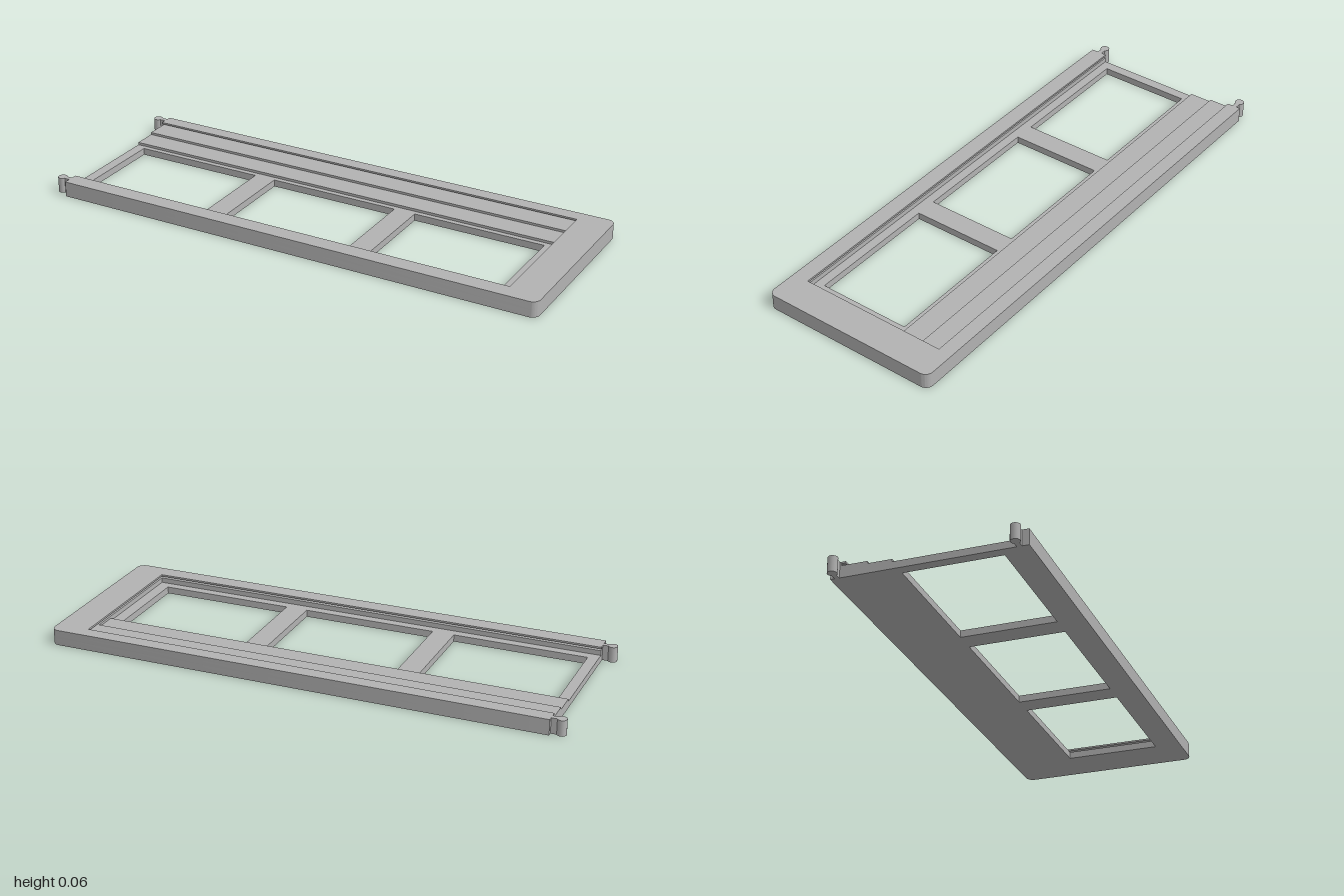
import * as THREE from 'three';
import { toCreasedNormals } from 'three/addons/utils/BufferGeometryUtils.js';

const X0 = -0.945, X1 = 1, Z = 0.355, R = 0.03;   // outer plan
const FLOOR = 0.027, TOP = 0.06;

export function createModel() {
  const group = new THREE.Group();
  const grey = new THREE.MeshStandardMaterial({ color: 0xb2b2b2 });
  grey.name = 'light grey';

  const add = (name, geometry) => {
    const mesh = new THREE.Mesh(geometry, grey);
    mesh.name = name;
    group.add(mesh);
    return mesh;
  };

  // Plan shapes are drawn in (x, -z) and raised from y0 to y1
  const slab = (name, shape, y0, y1) => {
    const g = new THREE.ExtrudeGeometry(shape, { depth: y1 - y0, bevelEnabled: false, curveSegments: 8 });
    g.rotateX(-Math.PI / 2).translate(0, y0, 0);
    add(name, toCreasedNormals(g, 0.6));
  };

  const box = (name, x0, x1, y0, y1, z0, z1) => {
    add(name, new THREE.BoxGeometry(x1 - x0, y1 - y0, z1 - z0))
      .position.set((x0 + x1) / 2, (y0 + y1) / 2, (z0 + z1) / 2);
  };

  // Outer outline with the two corners at the closed end rounded
  const outline = () => {
    const s = new THREE.Shape();
    s.moveTo(X0, -Z);
    s.lineTo(X1 - R, -Z);
    s.absarc(X1 - R, -Z + R, R, -Math.PI / 2, 0);
    s.lineTo(X1, Z - R);
    s.absarc(X1 - R, Z - R, R, 0, Math.PI / 2);
    s.lineTo(X0, Z);
    return s;
  };

  // Floor plate with three windows
  const floor = outline();
  for (const x of [-0.905, -0.3, 0.305]) {
    const w = new THREE.Path();
    w.moveTo(x, 0.11);
    w.lineTo(x + 0.52, 0.11);
    w.lineTo(x + 0.52, -0.255);
    w.lineTo(x, -0.255);
    w.closePath();
    floor.holes.push(w);
  }
  slab('floorPlate', floor, 0, FLOOR);

  // U-shaped rim, open at -x; the middle layer is cut back to form a slot
  const rim = (name, y0, y1, cut) => {
    const s = outline();
    s.lineTo(X0, 0.3 + cut);
    s.lineTo(0.87 + cut, 0.3 + cut);
    s.lineTo(0.87 + cut, -0.29 - cut);
    s.lineTo(X0, -0.29 - cut);
    s.closePath();
    slab(name, s, y0, y1);
  };
  rim('lowerRim', FLOOR, 0.046, 0);
  rim('slotRim', 0.046, 0.053, 0.015);
  rim('rimLip', 0.053, TOP, 0);

  // Two steps descending from the back rim to the floor
  box('upperStep', X0, 0.87, FLOOR, 0.046, -0.3, -0.22);
  box('lowerStep', X0, 0.87, FLOOR, 0.037, -0.22, -0.13);

  // Connector pegs at the open end
  for (const [side, z] of [['back', -0.33], ['front', 0.32]]) {
    box(side + 'PegNeck', -0.975, X0, 0, TOP, z - 0.009, z + 0.009);
    add(side + 'PegKnob', new THREE.CylinderGeometry(0.018, 0.018, TOP, 16))
      .position.set(-0.982, TOP / 2, z);
  }

  return group;
}
